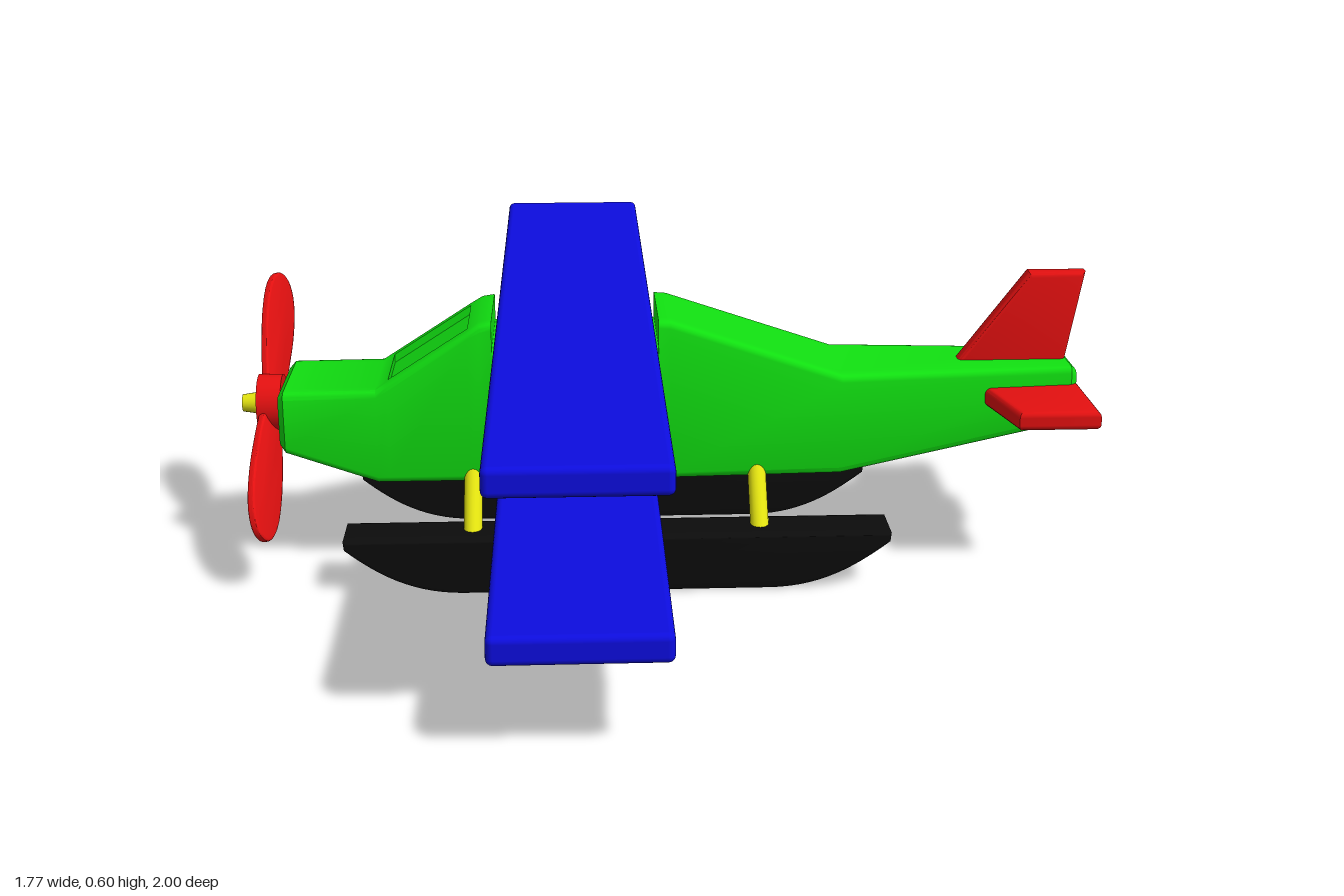
import * as THREE from 'three';
import { toCreasedNormals } from 'three/addons/utils/BufferGeometryUtils.js';
import { RoundedBoxGeometry } from 'three/addons/geometries/RoundedBoxGeometry.js';

const paint = (color) => new THREE.MeshStandardMaterial({ color });
const green = paint(0x11e011);
const blue = paint(0x0d0de0);
const red = paint(0xe31010);
const yellow = paint(0xe3e310);
const black = paint(0x0c0c0c);

function addMesh(parent, name, geometry, material) {
  const mesh = new THREE.Mesh(geometry, material);
  mesh.name = name;
  parent.add(mesh);
  return mesh;
}

// Plate with rounded edges, centred on its own thickness
function plate(shape, thickness, bevel) {
  const geometry = new THREE.ExtrudeGeometry(shape, {
    depth: thickness - 2 * bevel,
    bevelThickness: bevel, bevelSize: bevel, bevelOffset: -bevel,
    bevelSegments: 3, curveSegments: 14,
  });
  geometry.translate(0, 0, bevel - thickness / 2);
  return toCreasedNormals(geometry, 0.6);
}

const polygon = (points) => new THREE.Shape(points.map(([x, y]) => new THREE.Vector2(x, y)));

// Rounded rectangular section whose top can sink in the middle
function section([x, bottom, top, half, sink = 0]) {
  const r = Math.min(0.014, half);
  const w = Math.min(0.09, half - r);
  const points = [];
  const corner = (sz, sy, start) => {
    const cy = sy > 0 ? top - Math.min(r, top - bottom) : bottom + Math.min(r, top - bottom);
    for (let k = 0; k <= 3; k++) {
      const a = start + (k / 3) * Math.PI / 2;
      const ry = Math.min(r, top - bottom);
      points.push([x, cy + ry * Math.sin(a), sz * (half - r) + r * Math.cos(a)]);
    }
  };
  corner(1, 1, 0);
  points.push([x, top, w], [x, top - sink, w], [x, top - sink, -w], [x, top, -w]);
  corner(-1, 1, Math.PI / 2);
  corner(-1, -1, Math.PI);
  corner(1, -1, Math.PI * 1.5);
  return points;
}

// Skin stretched over the sections, from nose to tail
function loft(stations) {
  const rings = stations.map(section);
  const n = rings[0].length;
  const index = [];
  for (let i = 0; i < rings.length - 1; i++) {
    for (let j = 0; j < n; j++) {
      const a = i * n + j;
      const b = i * n + (j + 1) % n;
      index.push(a, a + n, b + n, a, b + n, b);
    }
  }
  const geometry = new THREE.BufferGeometry();
  geometry.setAttribute('position', new THREE.Float32BufferAttribute(rings.flat(2), 3));
  geometry.setIndex(index);
  return toCreasedNormals(geometry, 0.6);
}

function strut(from, to, radius) {
  const a = new THREE.Vector3(...from);
  const b = new THREE.Vector3(...to);
  return new THREE.TubeGeometry(new THREE.LineCurve3(a, b), 1, radius, 20);
}

export function createModel() {
  const model = new THREE.Group();
  model.name = 'biplaneFloatplane';

  // Fuselage: x, bottom, top, half width, depth of windscreen recess
  addMesh(model, 'fuselage', loft([
    [-0.8, 0.325, 0.325, 0],
    [-0.8, 0.27, 0.375, 0.113],
    [-0.788, 0.257, 0.387, 0.125],
    [-0.6, 0.19, 0.389, 0.125],
    [-0.575, 0.19, 0.405, 0.125],
    [-0.575, 0.19, 0.405, 0.125, 0.018],
    [-0.41, 0.19, 0.511, 0.125, 0.018],
    [-0.41, 0.19, 0.511, 0.125],
    [-0.385, 0.19, 0.526, 0.125],
    [-0.36, 0.19, 0.53, 0.125],
    [-0.36, 0.24, 0.475, 0.125],
    [-0.02, 0.24, 0.475, 0.125],
    [-0.02, 0.19, 0.53, 0.125],
    [0.005, 0.19, 0.528, 0.125],
    [0.36, 0.195, 0.408, 0.125],
    [0.847, 0.285, 0.408, 0.082],
    [0.86, 0.297, 0.396, 0.07],
    [0.86, 0.345, 0.345, 0],
  ]), green);

  // Upper and lower wings, seated in the notches
  for (const [name, y] of [['upperWing', 0.507], ['lowerWing', 0.208]]) {
    const wing = addMesh(model, name, new RoundedBoxGeometry(0.32, 0.055, 2, 3, 0.013), blue);
    wing.position.set(-0.19, y, 0);
  }

  // Tail fin and tailplane
  addMesh(model, 'tailFin', plate(polygon(
    [[0.59, 0.37], [0.84, 0.37], [0.88, 0.597], [0.76, 0.597]]), 0.04, 0.012), red);
  const tailplane = addMesh(model, 'tailplane', plate(polygon(
    [[0.64, 0], [0.7, -0.265], [0.866, -0.265], [0.866, 0.265], [0.7, 0.265]]), 0.04, 0.012), red);
  tailplane.rotation.x = -Math.PI / 2;
  tailplane.position.y = 0.35;

  // Floats and their struts on both sides
  const hull = new THREE.Shape();
  hull.moveTo(-0.665, 0.115);
  hull.lineTo(-0.663, 0.097);
  hull.bezierCurveTo(-0.6, 0.045, -0.53, 0, -0.42, 0);
  hull.lineTo(0.2, 0);
  hull.bezierCurveTo(0.31, 0, 0.38, 0.045, 0.448, 0.097);
  hull.lineTo(0.45, 0.115);
  const floatGeometry = plate(hull, 0.115, 0.006);
  for (const side of [1, -1]) {
    const label = side > 0 ? 'left' : 'right';
    addMesh(model, label + 'Float', floatGeometry, black).position.z = side * 0.208;
    for (const [end, x] of [['Front', -0.405], ['Rear', 0.185]]) {
      addMesh(model, label + end + 'Strut',
        strut([x, 0.23, side * 0.09], [x, 0.1, side * 0.205], 0.019), yellow);
    }
  }

  // Propeller: paddle blades pitched about their length, hub and shaft
  const propeller = new THREE.Group();
  propeller.name = 'propeller';
  propeller.position.set(-0.828, 0.33, 0);
  model.add(propeller);

  const outline = [[0, 0.03], [0.1, 0.046], [0.2, 0.056], [0.28, 0.048], [0.318, 0.026]];
  const upper = outline.slice().reverse();
  const loop = [
    [0.328, 0], ...upper, ...outline.slice(1).map(([x, y]) => [-x, y]),
    [-0.328, 0], ...upper.map(([x, y]) => [-x, -y]), ...outline.slice(1).map(([x, y]) => [x, -y]),
  ].map(([x, y]) => new THREE.Vector3(x, y, 0));
  const smooth = new THREE.CatmullRomCurve3(loop, true).getPoints(72).slice(0, -1);
  const blades = addMesh(propeller, 'blades',
    plate(polygon(smooth.map((p) => [p.x, p.y])), 0.016, 0.005), red);
  const along = new THREE.Vector3(0, 0.64, -0.768).normalize();
  const across = new THREE.Vector3(-Math.sin(0.4), 0.768 * Math.cos(0.4), 0.64 * Math.cos(0.4)).normalize();
  blades.quaternion.setFromRotationMatrix(
    new THREE.Matrix4().makeBasis(along, across, along.clone().cross(across)));

  const hub = addMesh(propeller, 'hub', new THREE.CylinderGeometry(0.06, 0.06, 0.05, 32), red);
  hub.rotation.z = Math.PI / 2;
  const shaft = addMesh(propeller, 'shaft', new THREE.CylinderGeometry(0.018, 0.018, 0.07, 20), yellow);
  shaft.rotation.z = Math.PI / 2;
  shaft.position.x = 0.0;
  const tip = addMesh(propeller, 'shaftTip', new THREE.CylinderGeometry(0.018, 0.024, 0.04, 20), yellow);
  tip.rotation.z = Math.PI / 2;
  tip.position.x = -0.04;

  return model;
}
